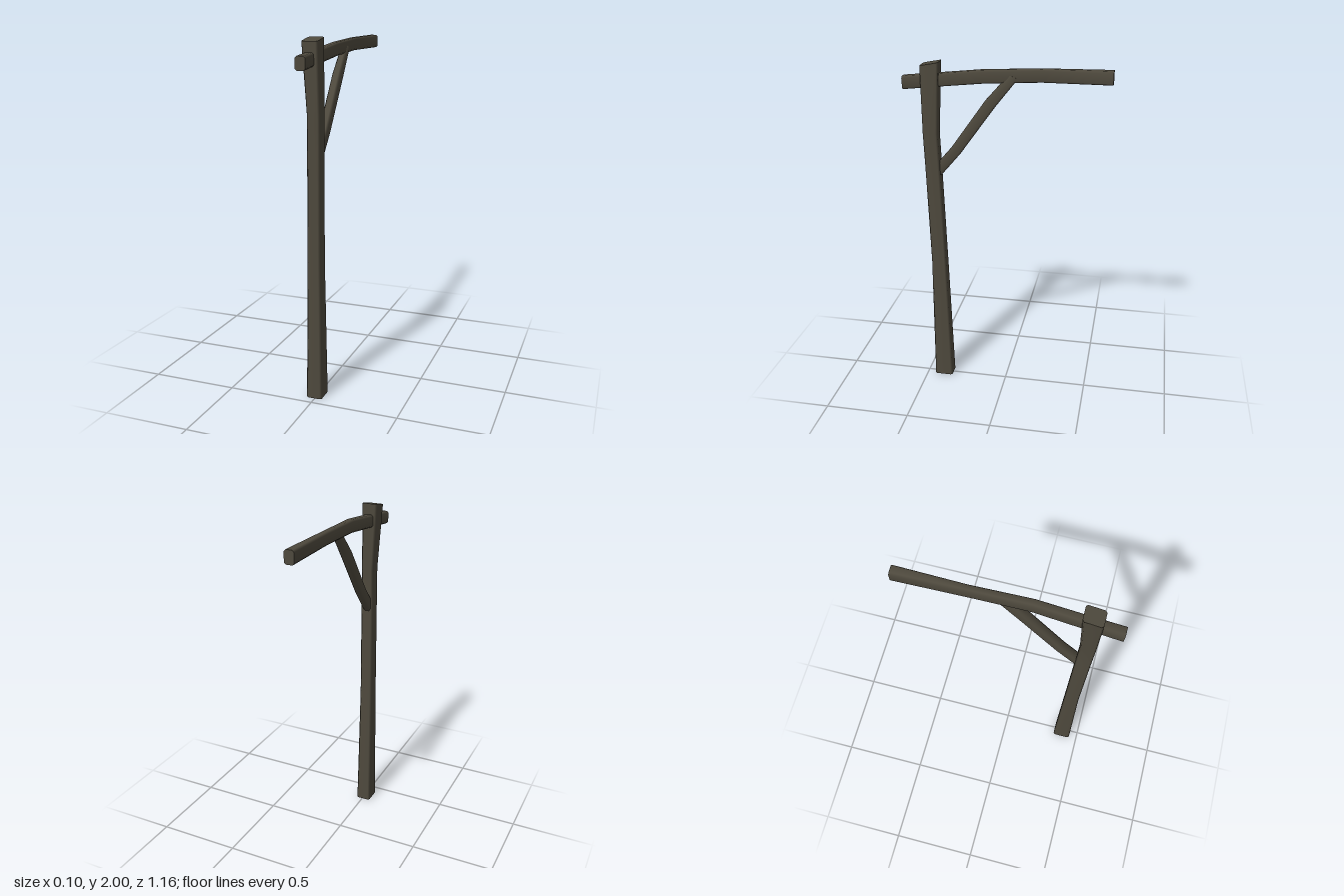
import * as THREE from 'three';

// Loft a hewn timber through ring sections. Each ring is
// [zA, yA, zB, yB, x0, x1]: two opposite edges in the side plane plus its x range.
function timber(name, rings, bevel, material) {
  const pos = [], index = [], N = 8;
  const sections = rings.map(([zA, yA, zB, yB, x0, x1]) => {
    const s = bevel / Math.hypot(zB - zA, yB - yA), t = bevel / (x1 - x0);
    const outline = [[s, 0], [1 - s, 0], [1, t], [1, 1 - t], [1 - s, 1], [s, 1], [0, 1 - t], [0, t]];
    return outline.map(([a, b]) => [x0 + (x1 - x0) * b, yA + (yB - yA) * a, zA + (zB - zA) * a]);
  });
  // Sides
  sections.forEach((sec) => sec.forEach((p) => pos.push(...p)));
  for (let r = 0; r < sections.length - 1; r++) {
    for (let i = 0; i < N; i++) {
      const a = r * N + i, b = r * N + (i + 1) % N;
      index.push(a, b, b + N, a, b + N, a + N);
    }
  }
  // End grain, with its own vertices so the cut stays sharp
  [[sections[0], true], [sections[sections.length - 1], false]].forEach(([sec, flip]) => {
    const base = pos.length / 3;
    sec.forEach((p) => pos.push(...p));
    for (let i = 1; i < N - 1; i++) {
      if (flip) index.push(base, base + i + 1, base + i);
      else index.push(base, base + i, base + i + 1);
    }
  });
  const geometry = new THREE.BufferGeometry();
  geometry.setAttribute('position', new THREE.Float32BufferAttribute(pos, 3));
  geometry.setIndex(index);
  geometry.computeVertexNormals();
  const mesh = new THREE.Mesh(geometry, material);
  mesh.name = name;
  return mesh;
}

export function createModel() {
  const group = new THREE.Group();
  group.name = 'postWithArm';
  const wood = new THREE.MeshStandardMaterial({ color: 0x4e493d });
  wood.name = 'weathered wood';

  // Upright, slightly crooked, with a slanted top
  group.add(timber('post', [
    [0.34, 0, 0.45, 0, -0.05, 0.04],
    [0.36, 0.8, 0.446, 0.8, -0.04, 0.035],
    [0.375, 1.4, 0.46, 1.4, -0.029, 0.043],
    [0.381, 1.6, 0.466, 1.6, -0.025, 0.046],
    [0.365, 2, 0.47, 1.98, -0.05, 0.04],
  ], 0.01, wood));

  // Bowed arm passing through the post
  group.add(timber('arm', [
    [0.577, 1.84, 0.58, 1.913, -0.037, 0.02],
    [0.36, 1.865, 0.366, 1.937, -0.029, 0.022],
    [0.12, 1.892, 0.126, 1.965, -0.02, 0.026],
    [-0.2, 1.908, -0.198, 1.98, -0.03, 0.012],
    [-0.58, 1.91, -0.58, 1.985, -0.038, 0.018],
  ], 0.01, wood));

  // Curved diagonal brace, its ends buried in the post and arm
  group.add(timber('brace', [
    [0.385, 1.335, 0.425, 1.385, -0.02, 0.028],
    [0.257, 1.485, 0.31, 1.517, -0.02, 0.028],
    [0.055, 1.765, 0.109, 1.8, -0.02, 0.027],
    [-0.072, 1.925, -0.02, 1.945, -0.016, 0.02],
  ], 0.01, wood));

  return group;
}
